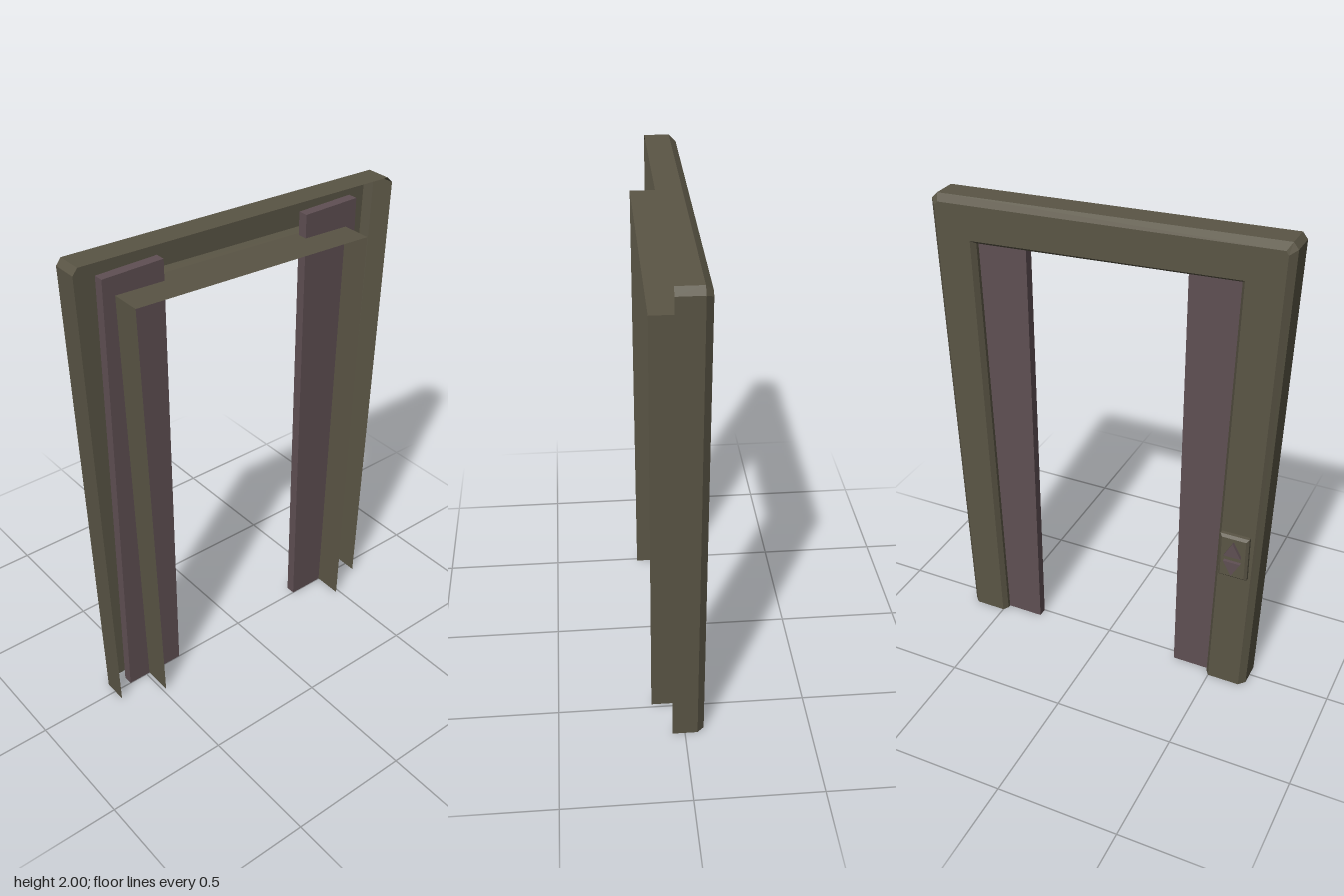
import * as THREE from 'three';

const frameMat = new THREE.MeshStandardMaterial({ color: 0x5a5545, side: THREE.DoubleSide, flatShading: true });
frameMat.name = 'olive metal';
const doorMat = new THREE.MeshStandardMaterial({ color: 0x5f4f53, flatShading: true });
doorMat.name = 'dull mauve';

// Outlines as [z, y], running from the +z foot over the top to the -z foot
const outer = [[0.66, 0], [0.72, 1.975], [0.7, 2], [-0.695, 1.95], [-0.72, 1.925], [-0.655, 0]];
const outerInset = [[0.635, 0], [0.695, 1.96], [0.685, 1.975], [-0.68, 1.925], [-0.695, 1.91], [-0.63, 0]];
const inner = [[0.485, 0], [0.533, 1.825], [-0.533, 1.775], [-0.485, 0]];
const innerInset = [[0.5, 0], [0.548, 1.84], [-0.548, 1.79], [-0.5, 0]];

function addMesh(parent, name, geometry, material) {
  const mesh = new THREE.Mesh(geometry, material);
  mesh.name = name;
  parent.add(mesh);
  return mesh;
}

// Sheet joining outline a at depth xa to outline b at depth xb
function strip(a, xa, b, xb, flip = false) {
  const pos = [];
  for (let i = 0; i < a.length - 1; i++) {
    const p = [xa, a[i][1], a[i][0]], q = [xa, a[i + 1][1], a[i + 1][0]];
    const r = [xb, b[i + 1][1], b[i + 1][0]], s = [xb, b[i][1], b[i][0]];
    const corners = flip ? [p, q, r, p, r, s] : [p, r, q, p, s, r];
    pos.push(...corners.flat());
  }
  const g = new THREE.BufferGeometry();
  g.setAttribute('position', new THREE.Float32BufferAttribute(pos, 3));
  g.computeVertexNormals();
  return g;
}

const shapeOf = (pts) => new THREE.Shape(pts.map(([z, y]) => new THREE.Vector2(z, y)));

// Extrusion of a [z, y] outline towards -x, starting at x
function plate(pts, x, depth, bevel = 0) {
  const g = new THREE.ExtrudeGeometry(shapeOf(pts), {
    depth, bevelEnabled: bevel > 0, bevelSize: bevel, bevelThickness: bevel, bevelSegments: 1,
  });
  return g.rotateY(-Math.PI / 2).translate(x, 0, 0);
}

export function createModel() {
  const model = new THREE.Group();
  model.name = 'doorway';

  // Open-backed sheet frame
  const frame = new THREE.Group();
  frame.name = 'frame';
  model.add(frame);
  addMesh(frame, 'outerWall', strip(outer, -0.05, outer, 0.05), frameMat);
  addMesh(frame, 'outerChamfer', strip(outerInset, -0.077, outer, -0.05), frameMat);
  const face = new THREE.ShapeGeometry(shapeOf([...outerInset, ...[...innerInset].reverse()]));
  face.rotateY(-Math.PI / 2).translate(-0.077, 0, 0);
  addMesh(frame, 'facePlate', face, frameMat);
  addMesh(frame, 'innerChamfer', strip(innerInset, -0.077, inner, -0.055, true), frameMat);
  addMesh(frame, 'jamb', strip(inner, -0.055, inner, 0.122, true), frameMat);

  // Sliding door leaves, half drawn into the frame
  for (const [side, height] of [[1, 1.9], [-1, 1.88]]) {
    const leaf = addMesh(model, side > 0 ? 'frontDoorLeaf' : 'backDoorLeaf',
      new THREE.BoxGeometry(0.04, height, 0.255), doorMat);
    leaf.position.set(-0.02, height / 2, side * 0.455);
  }

  // Control plate with an up and a down button
  const controls = new THREE.Group();
  controls.name = 'controls';
  model.add(controls);
  const b = 0.01;
  addMesh(controls, 'controlPlate',
    plate([[0.525 + b, 0.58 + b], [0.645 - b, 0.58 + b], [0.645 - b, 0.78 - b], [0.525 + b, 0.78 - b]],
      -0.077 - b, 0.015, b), frameMat);
  addMesh(controls, 'upButton', plate([[0.55, 0.693], [0.62, 0.693], [0.585, 0.758]], -0.108, 0.018), doorMat);
  addMesh(controls, 'downButton', plate([[0.55, 0.667], [0.585, 0.602], [0.62, 0.667]], -0.108, 0.018), doorMat);

  return model;
}
